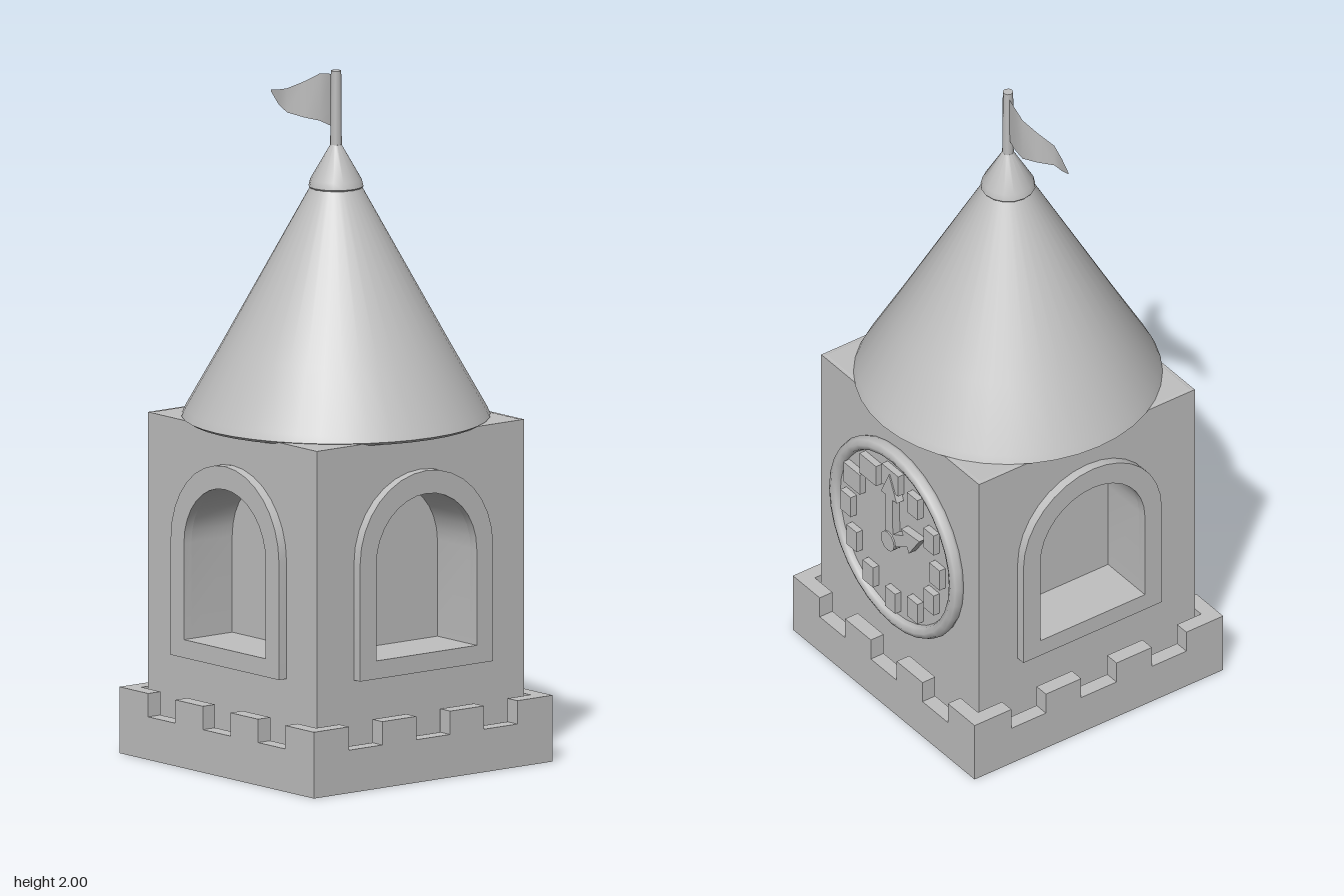
import * as THREE from 'three';
import { toCreasedNormals } from 'three/addons/utils/BufferGeometryUtils.js';
import { RoundedBoxGeometry } from 'three/addons/geometries/RoundedBoxGeometry.js';

const stone = new THREE.MeshStandardMaterial({ color: 0xc0c0c0 });
stone.name = 'stone grey';
const cloth = new THREE.MeshStandardMaterial({ color: 0xc0c0c0, side: THREE.DoubleSide });
cloth.name = 'flag grey';

const HALF = 0.382;   // half width of the tower body
const NICHE = 0.15;   // depth of the window recesses
const TOP = 0.995;

function add(parent, name, geometry, x = 0, y = 0, z = 0) {
  const mesh = new THREE.Mesh(geometry, stone);
  mesh.name = name;
  mesh.position.set(x, y, z);
  parent.add(mesh);
  return mesh;
}

function box(parent, name, w, h, d, x, y, z) {
  return add(parent, name, new THREE.BoxGeometry(w, h, d), x, y, z);
}

// Round-topped outline: a rectangle with a half circle above it
function archPath(path, r, bottom, spring) {
  path.moveTo(-r, bottom);
  path.lineTo(r, bottom);
  path.lineTo(r, spring);
  path.absarc(0, spring, r, 0, Math.PI, false);
  path.lineTo(-r, bottom);
  return path;
}

function extrude(shape, depth, bevel = 0) {
  const geometry = new THREE.ExtrudeGeometry(shape, {
    depth, curveSegments: 8, bevelEnabled: bevel > 0,
    bevelThickness: bevel, bevelSize: bevel, bevelOffset: -bevel, bevelSegments: 1,
  });
  return toCreasedNormals(geometry, 0.6);
}

// Wall with an arched recess and its raised frame, facing +z before turning
function windowWall(halfWidth, angle) {
  const wall = new THREE.Group();
  wall.name = 'windowWall';
  wall.rotation.y = angle;

  const panel = new THREE.Shape();
  panel.moveTo(-halfWidth, 0.02);
  panel.lineTo(halfWidth, 0.02);
  panel.lineTo(halfWidth, TOP);
  panel.lineTo(-halfWidth, TOP);
  panel.closePath();
  panel.holes.push(archPath(new THREE.Path(), 0.185, 0.365, 0.645));
  add(wall, 'wallPanel', extrude(panel, NICHE), 0, 0, HALF - NICHE);

  const frame = archPath(new THREE.Shape(), 0.245, 0.312, 0.652);
  frame.holes.push(archPath(new THREE.Path(), 0.185, 0.365, 0.645));
  add(wall, 'windowFrame', extrude(frame, 0.03), 0, 0, HALF - 0.002);
  return wall;
}

// Clock face, facing +z before turning
function makeClock() {
  const clock = new THREE.Group();
  clock.name = 'clock';
  const dial = add(clock, 'dial', new THREE.CylinderGeometry(0.29, 0.3, 0.02, 32));
  dial.rotation.x = Math.PI / 2;
  const rim = add(clock, 'rim', new THREE.TorusGeometry(0.29, 0.022, 8, 32), 0, 0, 0.006);
  rim.scale.z = 1.1;

  // Plain raised hour blocks
  for (let hour = 1; hour <= 12; hour++) {
    const a = hour * Math.PI / 6;
    const w = hour >= 10 ? 0.08 : 0.05;
    box(clock, 'hourMark', w, 0.07, 0.026, Math.sin(a) * 0.215, Math.cos(a) * 0.215, 0.018);
  }

  // Arrow-tipped hands
  for (const [name, length, angle] of [['minuteHand', 0.235, 0], ['hourHand', 0.17, -Math.PI / 3]]) {
    const neck = length - 0.08;
    const shape = new THREE.Shape([
      [-0.02, 0], [0.02, 0], [0.017, neck], [0.038, neck],
      [0, length], [-0.038, neck], [-0.017, neck],
    ].map(([x, y]) => new THREE.Vector2(x, y)));
    add(clock, name, extrude(shape, 0.03), 0, 0, 0.005).rotation.z = angle;
  }
  const hub = add(clock, 'hub', new THREE.CylinderGeometry(0.032, 0.032, 0.04, 12), 0, 0, 0.02);
  hub.rotation.x = Math.PI / 2;

  clock.position.set(HALF + 0.005, 0.58, 0);
  clock.rotation.y = Math.PI / 2;
  return clock;
}

// Plinth with battlements on all four sides
function makeBattlements() {
  const group = new THREE.Group();
  group.name = 'battlements';
  const outer = 0.44, t = 0.045;
  box(group, 'plinth', outer * 2, 0.1, outer * 2, 0, 0.05, 0);
  for (let i = 0; i < 4; i++) {
    const side = new THREE.Group();
    side.name = 'battlementSide';
    side.rotation.y = i * Math.PI / 2;
    const z = outer - t / 2;
    box(side, 'parapet', outer * 2 - t * 2, 0.03, t, 0, 0.11, z);
    for (const x of [-0.125, 0.125]) box(side, 'merlon', 0.125, 0.07, t, x, 0.158, z);
    // Each side owns one full corner; the next side butts against it
    box(side, 'cornerMerlon', 0.13, 0.093, t, 0.375, 0.1465, z);
    box(side, 'cornerMerlon', 0.13 - t, 0.093, t, -0.3525, 0.1465, z);
    group.add(side);
  }
  return group;
}

function lathe(points, segments) {
  const profile = points.map(([x, y]) => new THREE.Vector2(x, y));
  return toCreasedNormals(new THREE.LatheGeometry(profile, segments), 0.5);
}

// Swallow-thin pennant that waves sideways while it runs back to a point
function makeFlag() {
  const rows = [ // z, bottom, top, sideways wave
    [0, 1.835, 1.98, 0], [-0.05, 1.832, 1.982, 0.015], [-0.105, 1.835, 1.972, 0.025],
    [-0.15, 1.84, 1.945, 0.005], [-0.2, 1.85, 1.92, -0.018],
    [-0.25, 1.865, 1.908, -0.008], [-0.305, 1.893, 1.897, 0.008],
  ];
  const positions = [], index = [];
  rows.forEach(([z, low, high, x], i) => {
    positions.push(x, low, z, x, high, z);
    if (i > 0) {
      const a = i * 2 - 2;
      index.push(a, a + 2, a + 1, a + 1, a + 2, a + 3);
    }
  });
  const geometry = new THREE.BufferGeometry();
  geometry.setAttribute('position', new THREE.Float32BufferAttribute(positions, 3));
  geometry.setIndex(index);
  geometry.computeVertexNormals();
  const flag = new THREE.Mesh(geometry, cloth);
  flag.name = 'flag';
  return flag;
}

export function createModel() {
  const model = new THREE.Group();
  model.name = 'clockTower';
  model.add(makeBattlements());

  // Tower body: solid core, three window walls and a solid clock wall
  const inner = HALF - NICHE;
  box(model, 'core', inner * 2, 0.95, inner * 2, 0, 0.515, 0);
  model.add(windowWall(HALF, 0), windowWall(HALF, Math.PI), windowWall(inner, -Math.PI / 2));
  box(model, 'clockWall', NICHE, TOP - 0.02, inner * 2, HALF - NICHE / 2, (TOP + 0.02) / 2, 0);
  add(model, 'topSlab', new RoundedBoxGeometry(HALF * 2, 0.03, HALF * 2, 2, 0.012), 0, TOP - 0.014, 0);
  model.add(makeClock());

  // Conical roof, cap, pole and pennant
  add(model, 'roof', lathe([[0, 0.992], [0.425, 0.988], [0.442, 0.998], [0.432, 1.02],
    [0.33, 1.2], [0.07, 1.67], [0, 1.69]], 40));
  add(model, 'roofCap', lathe([[0, 1.65], [0.068, 1.65], [0.079, 1.665], [0.074, 1.685],
    [0.016, 1.785], [0, 1.79]], 16));
  add(model, 'flagPole', new THREE.CylinderGeometry(0.015, 0.017, 0.25, 8), 0, 1.875, 0);
  model.add(makeFlag());
  return model;
}
